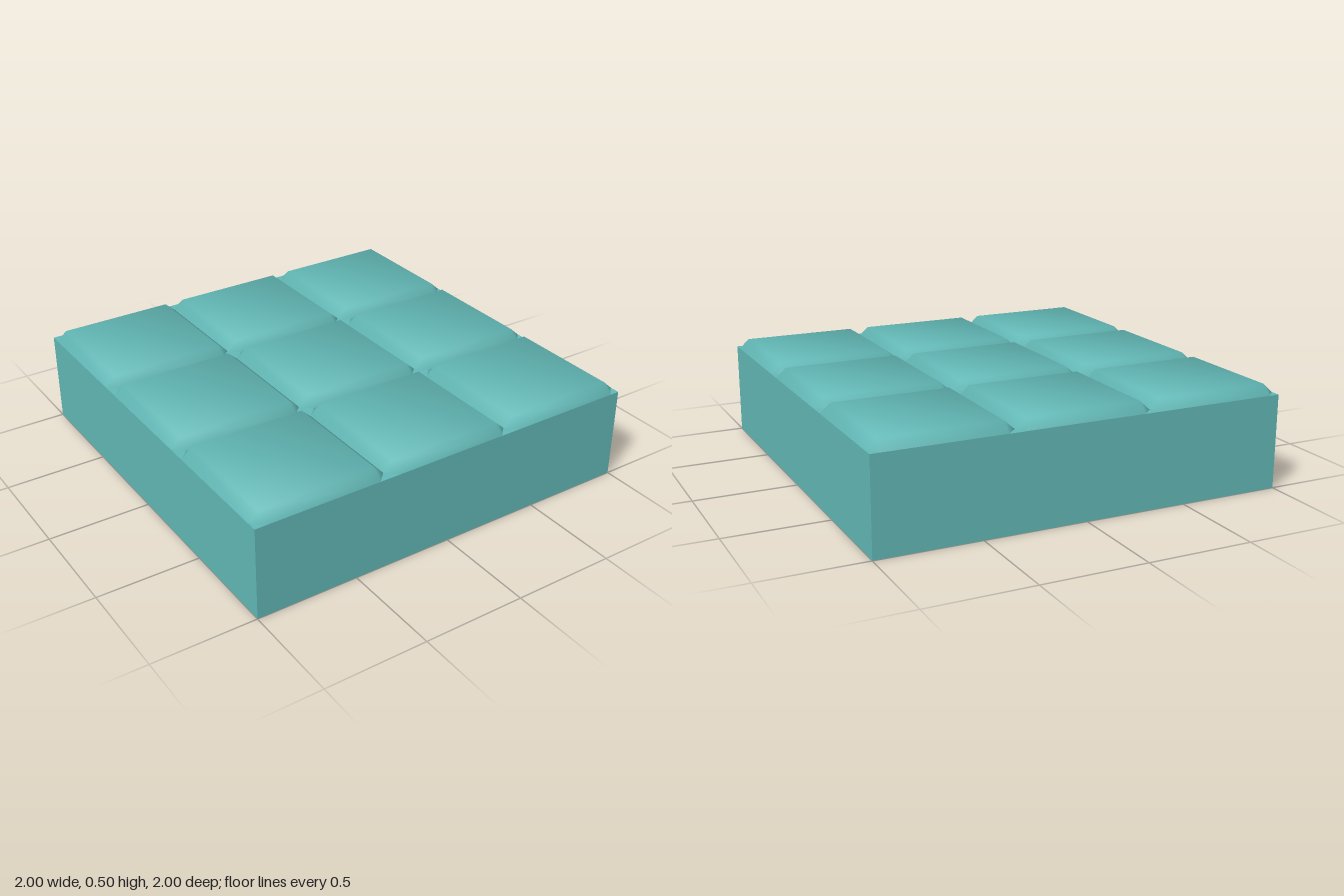
import * as THREE from 'three';

const PITCH = 2 / 3, BASE = 0.455, TOP = 0.5, BEVEL = 0.05;

// Cushion cap: square top, four sloping sides and four corner triangles, softly shaded
function capGeometry() {
  const outer = PITCH / 2, inner = outer - BEVEL, h = TOP - BASE;
  const positions = [], normals = [], index = [];
  const add = (angle, p, n) => {
    const axis = new THREE.Vector3(0, 1, 0);
    const v = new THREE.Vector3(...p).applyAxisAngle(axis, angle);
    const m = new THREE.Vector3(...n).normalize().applyAxisAngle(axis, angle);
    positions.push(v.x, v.y, v.z);
    normals.push(m.x, m.y, m.z);
  };
  // each quarter turn: top corner, lower corner on the z side, lower corner on the x side
  for (let i = 0; i < 4; i++) {
    const a = i * Math.PI / 2;
    add(a, [inner, h, inner], [1.29, 3, 1.29]);
    add(a, [inner, 0, outer], [0.58, 1.29, 2.29]);
    add(a, [outer, 0, inner], [2.29, 1.29, 0.58]);
  }
  for (let i = 0; i < 4; i++) {
    const t = i * 3, n = ((i + 1) % 4) * 3;
    index.push(t, t + 1, t + 2);                      // corner
    index.push(t, t + 2, n + 1, t, n + 1, n);         // slope
  }
  index.push(0, 3, 6, 0, 6, 9);                       // top
  const g = new THREE.BufferGeometry();
  g.setAttribute('position', new THREE.Float32BufferAttribute(positions, 3));
  g.setAttribute('normal', new THREE.Float32BufferAttribute(normals, 3));
  g.setIndex(index);
  return g;
}

export function createModel() {
  const model = new THREE.Group();
  model.name = 'tiledSlab';
  const teal = new THREE.MeshStandardMaterial({ color: 0x62b8b6 });
  teal.name = 'teal';

  // Solid slab
  const slab = new THREE.Mesh(new THREE.BoxGeometry(2, BASE, 2), teal);
  slab.name = 'slab';
  slab.position.y = BASE / 2;
  model.add(slab);

  // Three by three bevelled tiles
  const cap = capGeometry();
  for (let i = -1; i <= 1; i++) {
    for (let j = -1; j <= 1; j++) {
      const tile = new THREE.Mesh(cap, teal);
      tile.name = 'tile';
      tile.position.set(i * PITCH, BASE, j * PITCH);
      model.add(tile);
    }
  }
  return model;
}
